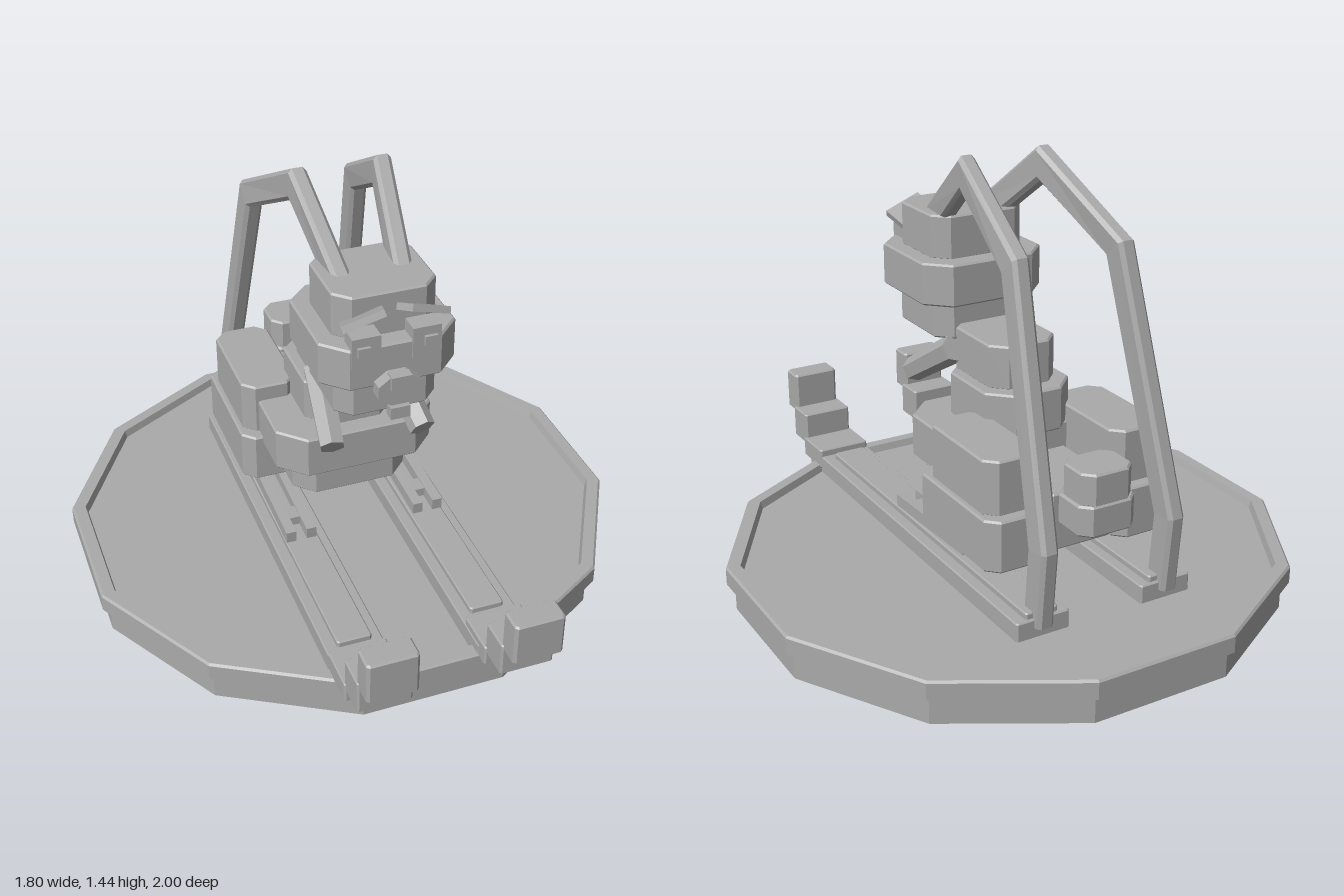
import * as THREE from 'three';

const grey = new THREE.MeshStandardMaterial({ color: 0xaaaaaa, flatShading: true });
grey.name = 'plain grey';

function add(parent, name, geometry) {
  const mesh = new THREE.Mesh(geometry, grey);
  mesh.name = name;
  parent.add(mesh);
  return mesh;
}

// Upright block with cut corners, given by its x, y and z ranges
function block(parent, name, [x0, x1], [y0, y1], [z0, z1], cut = 0.03, bevel = 0.006) {
  const b = bevel, w = (x1 - x0) / 2 - b, d = (z1 - z0) / 2 - b;
  const shape = new THREE.Shape([
    [w - cut, -d], [w, cut - d], [w, d - cut], [w - cut, d],
    [cut - w, d], [-w, d - cut], [-w, cut - d], [cut - w, -d],
  ].map(([x, y]) => new THREE.Vector2(x, y)));
  const geo = new THREE.ExtrudeGeometry(shape, {
    depth: y1 - y0 - 2 * b, bevelEnabled: true, bevelSegments: 1, bevelSize: b, bevelThickness: b,
  });
  geo.rotateX(-Math.PI / 2);
  geo.translate((x0 + x1) / 2, y0 + b, (z0 + z1) / 2);
  return add(parent, name, geo);
}

function box(parent, name, [x, y, z], [w, h, d]) {
  const mesh = add(parent, name, new THREE.BoxGeometry(w, h, d));
  mesh.position.set(x, y, z);
  return mesh;
}

// x range on one side of the body
const side = (s, a, b) => (s > 0 ? [a, b] : [-b, -a]);

// Mitred bar with cut edges swept along a path
function bar(path, w, h, c) {
  const section = [[w, c - h], [w, h - c], [w - c, h], [c - w, h], [-w, h - c], [-w, c - h], [c - w, -h], [w - c, -h]];
  const pts = path.map(p => new THREE.Vector3(...p));
  const dirs = pts.slice(1).map((p, i) => {
    const d = p.clone().sub(pts[i]);
    d.x = 0;
    return d.normalize();
  });
  const pos = [], index = [], n = section.length;
  pts.forEach((p, i) => {
    const a = dirs[Math.max(i - 1, 0)], b = dirs[Math.min(i, dirs.length - 1)];
    const t = a.clone().add(b).normalize();
    const m = new THREE.Vector3(0, t.z, -t.y).divideScalar(t.dot(b));
    for (const [u, v] of section) pos.push(p.x + u, p.y + m.y * v, p.z + m.z * v);
    if (i === 0) return;
    for (let j = 0; j < n; j++) {
      const k = (j + 1) % n, q = (i - 1) * n, r = i * n;
      index.push(q + j, q + k, r + k, q + j, r + k, r + j);
    }
  });
  const last = (pts.length - 1) * n;
  for (let j = 1; j < n - 1; j++) index.push(0, j + 1, j, last, last + j, last + j + 1);
  const geo = new THREE.BufferGeometry();
  geo.setAttribute('position', new THREE.Float32BufferAttribute(pos, 3));
  geo.setIndex(index);
  geo.computeVertexNormals();
  return geo;
}

export function createModel() {
  const model = new THREE.Group();
  model.name = 'seated figure on runners';

  // Twelve-sided base with a shallow recessed floor
  const profile = [[0, 0], [0.906, 0], [0.906, 0.088], [0.932, 0.094], [0.932, 0.148],
    [0.925, 0.155], [0.885, 0.155], [0.877, 0.13], [0, 0.13]].map(p => new THREE.Vector2(...p));
  add(model, 'base', new THREE.LatheGeometry(profile, 12, Math.PI / 12)).position.z = -0.1;

  // Torso
  const body = new THREE.Group();
  body.name = 'body';
  model.add(body);
  block(body, 'lowerBody', [-0.2, 0.2], [0.305, 0.445], [-0.4, 0.055], 0.06);
  block(body, 'hips', [-0.27, 0.27], [0.44, 0.585], [-0.25, 0.13], 0.08);
  block(body, 'rearBody', [-0.125, 0.125], [0.31, 0.5], [-0.54, -0.2], 0.02);
  block(body, 'chest', [-0.155, 0.155], [0.58, 0.725], [-0.29, 0.07], 0.07);
  block(body, 'shoulders', [-0.12, 0.12], [0.72, 0.865], [-0.23, 0.07], 0.045);
  block(body, 'tailLower', [-0.1, 0.1], [0.415, 0.515], [-0.7, -0.53], 0.03);
  block(body, 'tailUpper', [-0.09, 0.09], [0.51, 0.615], [-0.695, -0.54], 0.03);

  // Head
  const head = new THREE.Group();
  head.name = 'head';
  model.add(head);
  block(head, 'jaw', [-0.165, 0.165], [0.815, 0.945], [0.04, 0.36], 0.045);
  block(head, 'cheeks', [-0.218, 0.218], [0.94, 1.08], [-0.01, 0.405], 0.07);
  block(head, 'crown', [-0.165, 0.165], [1.075, 1.22], [0.055, 0.345], 0.045);
  const muzzle = add(head, 'muzzle', new THREE.CylinderGeometry(0.075, 0.075, 0.045, 8, 1, false, Math.PI / 8));
  muzzle.rotation.x = Math.PI / 2;
  muzzle.scale.z = 0.72;
  muzzle.position.set(0, 0.94, 0.422);
  box(head, 'nose', [0, 0.97, 0.438], [0.065, 0.045, 0.036]);
  box(head, 'teeth', [0, 0.862, 0.432], [0.062, 0.04, 0.036]);

  for (const s of [1, -1]) {
    // Face details
    box(head, 'eyeSocket', [s * 0.095, 1.07, 0.378], [0.09, 0.1, 0.066]);
    box(head, 'eye', [s * 0.105, 1.075, 0.41], [0.04, 0.032, 0.024]);
    const brow = box(head, 'brow', [s * 0.095, 1.162, 0.375], [0.135, 0.022, 0.085]);
    brow.rotation.set(-0.4, s * 0.25, -s * 0.25);

    // Haunches
    block(body, 'haunchUpper', side(s, 0.13, 0.318), [0.46, 0.64], [-0.52, -0.14], 0.035);
    block(body, 'haunchLower', side(s, 0.12, 0.335), [0.295, 0.465], [-0.56, -0.1], 0.035);

    // Arms reach forward and down
    const from = new THREE.Vector3(s * 0.12, 0.79, 0.03), to = new THREE.Vector3(s * 0.152, 0.645, 0.265);
    const arm = add(body, 'arm', new THREE.CylinderGeometry(0.042, 0.048, from.distanceTo(to), 6));
    arm.position.copy(from).lerp(to, 0.5);
    arm.quaternion.setFromUnitVectors(new THREE.Vector3(0, 1, 0), to.clone().sub(from).normalize());

    // Runner with raised tread and stepped, upturned tip
    const runner = new THREE.Group();
    runner.name = 'runner';
    model.add(runner);
    block(runner, 'runnerBed', side(s, 0.13, 0.315), [0.125, 0.19], [-0.68, 0.8], 0.004, 0.004);
    block(runner, 'runnerTread', side(s, 0.165, 0.278), [0.185, 0.21], [-0.67, 0.66], 0.004, 0.004);
    block(runner, 'tipLow', side(s, 0.133, 0.32), [0.145, 0.215], [0.69, 0.84], 0.004, 0.004);
    block(runner, 'tipMiddle', side(s, 0.14, 0.315), [0.19, 0.305], [0.825, 0.935], 0.004, 0.004);
    block(runner, 'tipHigh', side(s, 0.147, 0.31), [0.285, 0.43], [0.915, 1], 0.006);

    // Foot: two slim prongs joined by a crossbar
    for (const x of [0.19, 0.26]) {
      box(runner, 'footProng', [s * x, 0.24, -0.065], [0.034, 0.04, 0.45]).rotation.x = 0.04;
    }
    box(runner, 'footBar', [s * 0.225, 0.237, 0.06], [0.1, 0.03, 0.06]);

    // Long bent frame from the runner's heel over to the head
    add(model, 'frame', bar([
      [s * 0.225, 0.165, -0.655], [s * 0.225, 0.41, -0.677], [s * 0.182, 1.2, -0.44],
      [s * 0.137, 1.39, -0.085], [s * 0.097, 1.18, 0.19],
    ], 0.029, 0.046, 0.012));
  }
  return model;
}
